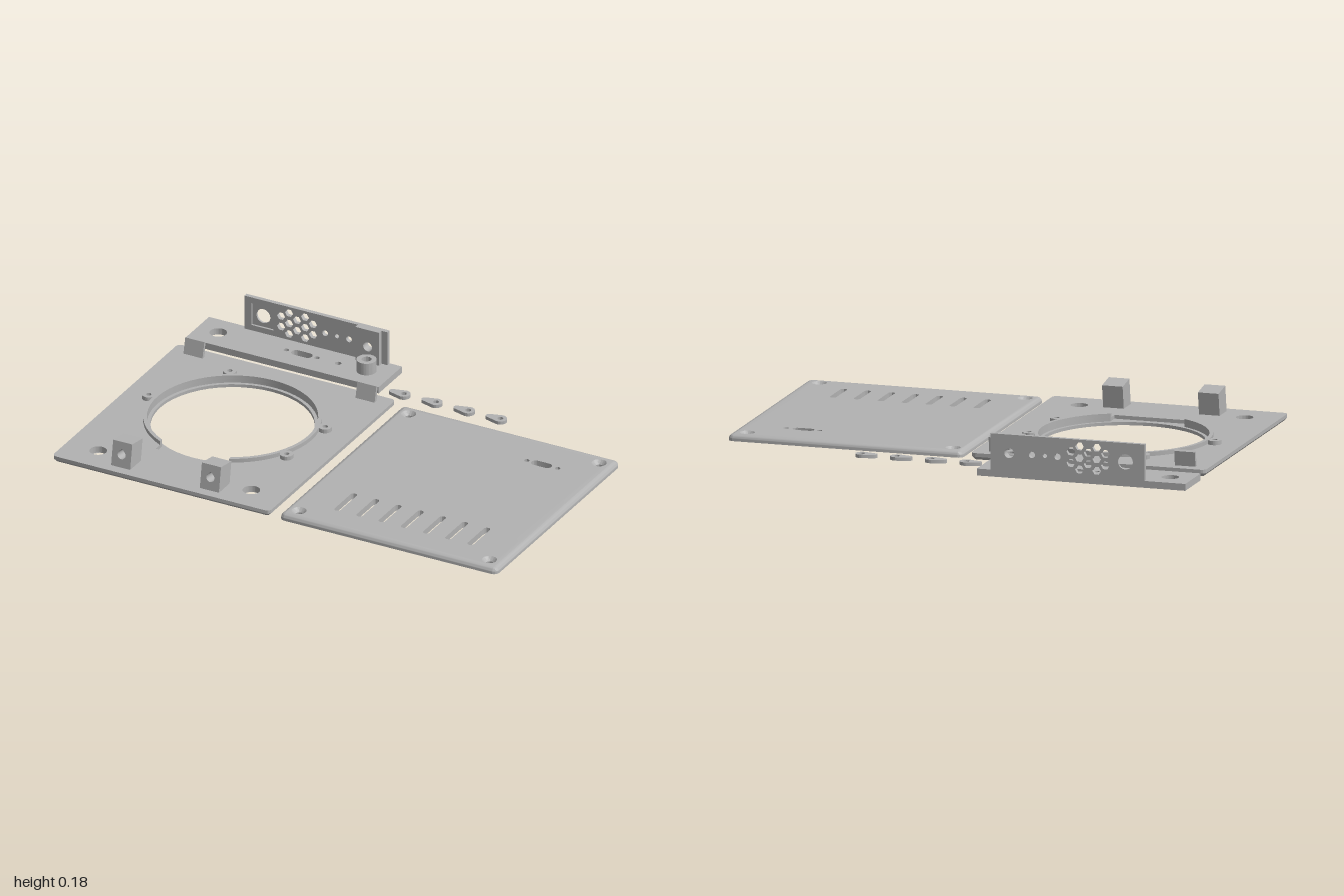
import * as THREE from 'three';
import { toCreasedNormals } from 'three/addons/utils/BufferGeometryUtils.js';

const grey = new THREE.MeshStandardMaterial({ color: 0xb2b2b2 });
grey.name = 'plain grey';

// Paths for flat parts are drawn in (x, -z) so they can be laid down on the ground plane.
const circle = (x, z, r) => new THREE.Path().absarc(x, -z, r, 0, Math.PI * 2, false);

function slot(x, z, w, d) {
  const p = new THREE.Path();
  const r = Math.min(w, d) / 2, dx = w / 2 - r, dz = d / 2 - r;
  if (w > d) {
    p.absarc(x + dx, -z, r, -Math.PI / 2, Math.PI / 2, false);
    p.absarc(x - dx, -z, r, Math.PI / 2, Math.PI * 1.5, false);
  } else {
    p.absarc(x, -z + dz, r, 0, Math.PI, false);
    p.absarc(x, -z - dz, r, Math.PI, Math.PI * 2, false);
  }
  p.closePath();
  return p;
}

function roundRect(x0, x1, z0, z1, r) {
  const s = new THREE.Shape();
  s.absarc(x1 - r, -z0 - r, r, 0, Math.PI / 2, false);
  s.absarc(x0 + r, -z0 - r, r, Math.PI / 2, Math.PI, false);
  s.absarc(x0 + r, -z1 + r, r, Math.PI, Math.PI * 1.5, false);
  s.absarc(x1 - r, -z1 + r, r, Math.PI * 1.5, Math.PI * 2, false);
  s.closePath();
  return s;
}

function rect(x0, x1, y0, y1) {
  const pts = [[x0, y0], [x1, y0], [x1, y1], [x0, y1]];
  return new THREE.Shape(pts.map(p => new THREE.Vector2(...p)));
}

function extrude(shape, depth, steps = 1) {
  return new THREE.ExtrudeGeometry(shape, { depth, steps, bevelEnabled: false, curveSegments: 24 });
}

// Lies flat between y0 and y1; rule(v) may move each vertex
function flat(shape, y0, y1, rule, steps = 1) {
  const g = extrude(shape, y1 - y0, steps).rotateX(-Math.PI / 2).translate(0, y0, 0);
  if (rule) {
    const pos = g.attributes.position, v = new THREE.Vector3();
    for (let i = 0; i < pos.count; i++) {
      v.fromBufferAttribute(pos, i);
      rule(v);
      pos.setXYZ(i, v.x, v.y, v.z);
    }
  }
  return toCreasedNormals(g, 0.6);
}

// Pulls the rim of a rounded rectangle inwards by inset(y)
function rimRule(x0, x1, z0, z1, r, inset) {
  return v => {
    const cx = THREE.MathUtils.clamp(v.x, x0 + r, x1 - r);
    const cz = THREE.MathUtils.clamp(v.z, z0 + r, z1 - r);
    const k = (r - inset(v.y)) / r;
    v.x = cx + (v.x - cx) * k;
    v.z = cz + (v.z - cz) * k;
  };
}

function add(parent, name, geometry) {
  const m = new THREE.Mesh(geometry, grey);
  m.name = name;
  parent.add(m);
  return m;
}

function group(parent, name) {
  const g = new THREE.Group();
  g.name = name;
  parent.add(g);
  return g;
}

function tube(x, z, r, hole, y0, y1) {
  const s = new THREE.Shape().absarc(x, -z, r, 0, Math.PI * 2, false);
  s.holes.push(circle(x, z, hole));
  return flat(s, y0, y1);
}

const CX = -0.51, CZ = 0.055, NOTCH = 0.155;

// Large circle interrupted by the front notch
function openArc(path, r) {
  const a = Math.acos(NOTCH / r);
  return path.absarc(CX, -CZ, r, -a, Math.PI + a, false);
}

function buildBase(root) {
  const base = group(root, 'basePlate');
  const box = [-1, -0.02, -0.4, 0.655, 0.02];
  const footHoles = () => [circle(-0.858, 0.532, 0.035), circle(-0.168, 0.532, 0.035)];

  const lower = roundRect(...box);
  lower.holes.push(circle(CX, CZ, 0.326), ...footHoles());
  add(base, 'lowerPlate', flat(lower, 0, 0.013, rimRule(...box, y => Math.max(0, 0.013 - y)), 3));

  const upper = roundRect(...box);
  const opening = openArc(new THREE.Path(), 0.34);
  opening.lineTo(CX - NOTCH, -0.41);
  opening.lineTo(CX + NOTCH, -0.41);
  opening.closePath();
  upper.holes.push(opening, ...footHoles());
  add(base, 'upperPlate', flat(upper, 0.013, 0.028));

  // Raised ring with screw bosses
  const ring = openArc(new THREE.Shape(), 0.355);
  const a = Math.acos(NOTCH / 0.34);
  ring.absarc(CX, -CZ, 0.34, Math.PI + a, -a, true);
  ring.closePath();
  add(base, 'openingRing', flat(ring, 0.028, 0.045));
  for (const [x, z] of [[-0.7, -0.275], [-0.147, -0.045], [-0.174, 0.227], [-0.89, 0.052]])
    add(base, 'ringBoss', tube(x, z, 0.027, 0.011, 0.028, 0.045));

  // Leaning front posts with a blind teardrop hole
  for (const x of [-0.713, -0.313]) {
    const post = group(base, 'frontPost');
    post.position.set(x, 0.026, 0.614);
    post.rotation.x = -0.16;
    const face = rect(-0.043, 0.043, 0, 0.11);
    const drop = new THREE.Path().absarc(0, 0.055, 0.018, Math.PI * 0.75, Math.PI * 2.25, false);
    drop.lineTo(0, 0.081);
    drop.closePath();
    face.holes.push(drop);
    add(post, 'postFront', extrude(face, 0.06).translate(0, 0, -0.06));
    add(post, 'postBack', new THREE.BoxGeometry(0.086, 0.11, 0.028).translate(0, 0.055, -0.074));
  }

  // Leaning rear clips
  const clip = new THREE.Shape([[0.337, 0.02], [0.355, 0.02], [0.363, 0.088], [0.354, 0.094]]
    .map(p => new THREE.Vector2(...p)));
  for (const x of [-0.901, -0.126])
    add(base, 'rearClip', extrude(clip, 0.086).rotateY(Math.PI / 2).translate(x - 0.043, 0, 0));
}

function buildLid(root) {
  const box = [0.02, 1, -0.385, 0.65, 0.025];
  const s = roundRect(...box);
  const screws = [];
  for (const x of [0.078, 0.936]) for (const z of [-0.325, 0.59]) screws.push([x, z]);
  for (const [x, z] of screws) s.holes.push(circle(x, z, 0.015));
  for (let i = 0; i < 7; i++) s.holes.push(slot(0.207 + i * 0.1, 0.44, 0.027, 0.16));
  s.holes.push(slot(0.741, -0.206, 0.09, 0.038), circle(0.674, -0.206, 0.011), circle(0.813, -0.206, 0.011));

  // Rounded top rim and countersunk corner holes
  const R = 0.02, top = 0.026;
  const rim = rimRule(...box, y => {
    const t = Math.max(0, y - (top - R));
    return R - Math.sqrt(Math.max(0, R * R - t * t));
  });
  add(root, 'lidPlate', flat(s, 0, top, v => {
    const screw = screws.find(([x, z]) => Math.hypot(v.x - x, v.z - z) < 0.018);
    if (!screw) return rim(v);
    const k = 1 + Math.max(0, (v.y - 0.01) / (top - 0.01));
    v.x = screw[0] + (v.x - screw[0]) * k;
    v.z = screw[1] + (v.z - screw[1]) * k;
  }, 8));
}

function buildBracket(root) {
  const bracket = group(root, 'rearBracket');
  const foot = rect(-1, -0.13, 0.46, 0.656);
  const z = -0.559;
  foot.holes.push(circle(-0.906, z, 0.035), circle(-0.6, z, 0.011), slot(-0.529, z, 0.092, 0.04),
    circle(-0.462, z, 0.011), circle(-0.366, z, 0.013), circle(-0.238, z, 0.02));
  add(bracket, 'bracketFoot', flat(foot, 0, 0.028));
  add(bracket, 'bracketBoss', tube(-0.238, z, 0.04, 0.02, 0.028, 0.08));

  // Upright panel: honeycomb vent, connector holes and a square recess
  const hole = (x, y, r, n) => n
    ? new THREE.Path(Array.from({ length: n }, (_, i) =>
      new THREE.Vector2(x + r * Math.cos(i * 2 * Math.PI / n), y + r * Math.sin(i * 2 * Math.PI / n))))
    : circle(x, -y, r);
  for (const [name, z0, z1, recess] of [['panelBack', -0.656, -0.647, false], ['panelFront', -0.647, -0.638, true]]) {
    const s = rect(-0.83, -0.187, 0.028, 0.176);
    s.holes.push(recess ? rect(-0.8, -0.7, 0.052, 0.15) : hole(-0.75, 0.1, 0.031));
    for (let c = 0; c < 5; c++) {
      const ys = c % 2 ? [0.055, 0.102, 0.149] : [0.079, 0.126];
      for (const y of ys) s.holes.push(hole(-0.666 + c * 0.036, y, 0.018, 6));
    }
    s.holes.push(hole(-0.467, 0.1, 0.013), hole(-0.414, 0.1, 0.009), hole(-0.36, 0.1, 0.013), hole(-0.265, 0.1, 0.02));
    add(bracket, name, extrude(s, z1 - z0).translate(0, 0, z0));
  }
  const pad = rect(-0.32, -0.213, 0.028, 0.176);
  pad.holes.push(hole(-0.265, 0.1, 0.02));
  add(bracket, 'panelPad', extrude(pad, 0.02).translate(0, 0, -0.638));
}

function buildLinks(root) {
  // Loose teardrop washers
  for (let i = 0; i < 4; i++) {
    const x = -0.03 + i * 0.145, z = -0.484;
    const s = new THREE.Shape().absarc(x, -z, 0.027, -1.95, 1.95, false);
    s.absarc(x - 0.05, -z, 0.014, 1.95, Math.PI * 2 - 1.95, false);
    s.closePath();
    s.holes.push(circle(x, z, 0.012));
    add(root, 'teardropWasher', flat(s, 0, 0.014));
  }
}

export function createModel() {
  const root = new THREE.Group();
  root.name = 'enclosureParts';
  buildBase(root);
  buildLid(root);
  buildBracket(root);
  buildLinks(root);
  return root;
}
